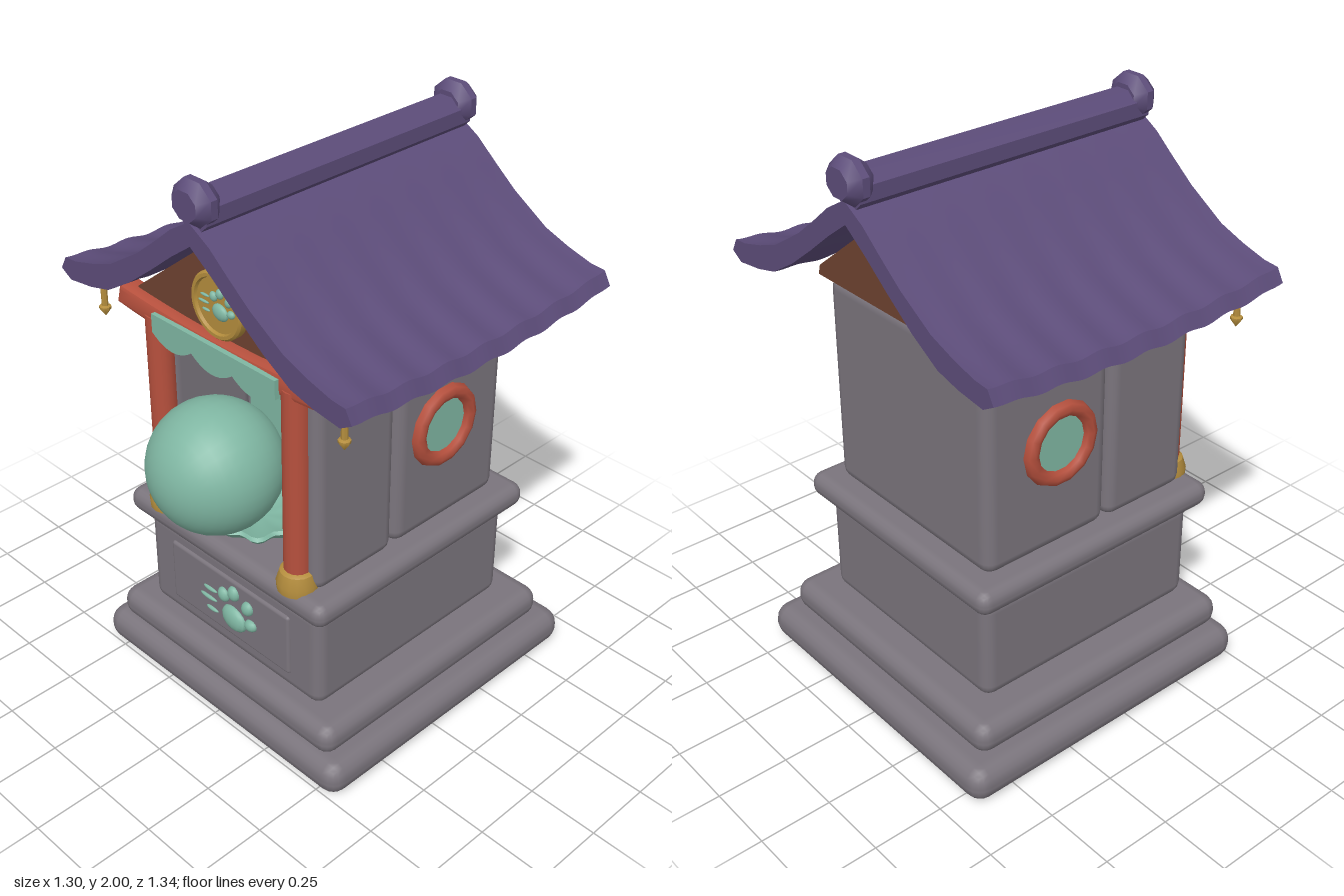
import * as THREE from 'three';
import { toCreasedNormals } from 'three/addons/utils/BufferGeometryUtils.js';
import { RoundedBoxGeometry } from 'three/addons/geometries/RoundedBoxGeometry.js';

const mat = (name, color) => Object.assign(new THREE.MeshStandardMaterial({ color }), { name });

export function createModel() {
  const stone = mat('stone', 0x7a747c);
  const purple = mat('roof purple', 0x5c4c79);
  const mint = mat('mint', 0x7fb6a2);
  const red = mat('red lacquer', 0xb6503d);
  const gold = mat('gold', 0xb48d3d);
  const wood = mat('brown wood', 0x6e4230);

  const root = new THREE.Group();
  root.name = 'shrine';

  const add = (name, geo, material, x = 0, y = 0, z = 0, parent = root) => {
    const m = new THREE.Mesh(geo, material);
    m.name = name;
    m.position.set(x, y, z);
    parent.add(m);
    return m;
  };
  // Bevelled block given by its extents
  const block = (name, x0, x1, y0, y1, z0, z1, r, material = stone) =>
    add(name, new RoundedBoxGeometry(x1 - x0, y1 - y0, z1 - z0, 2, r), material,
      (x0 + x1) / 2, (y0 + y1) / 2, (z0 + z1) / 2);
  const lathe = (pts, seg) =>
    toCreasedNormals(new THREE.LatheGeometry(pts.map(p => new THREE.Vector2(...p)), seg), 0.6);
  const polygon = pts => new THREE.Shape(pts.map(p => new THREE.Vector2(...p)));

  // Stepped stone base
  block('bottomStep', -0.59, 0.59, 0, 0.13, -0.67, 0.51, 0.06);
  block('upperStep', -0.53, 0.53, 0.125, 0.24, -0.6, 0.48, 0.052);
  block('pedestal', -0.42, 0.42, 0.235, 0.615, -0.49, 0.41, 0.045);
  block('pedestalCap', -0.47, 0.47, 0.61, 0.7, -0.54, 0.455, 0.042);
  block('frontPanel', -0.29, 0.29, 0.31, 0.55, 0.395, 0.42, 0.012);

  // Paw print with three speed lines, made of flattened beads
  const paw = (name, x, y, z, s) => {
    const g = new THREE.Group();
    g.name = name;
    g.position.set(x, y, z);
    g.scale.setScalar(s);
    const bead = (part, bx, by, rx, ry, rz, tilt = 0) => {
      const m = add(part, new THREE.SphereGeometry(1, 14, 10), mint, bx, by, 0, g);
      m.scale.set(rx, ry, rz);
      m.rotation.z = tilt;
    };
    bead('pad', 0.03, -0.035, 0.058, 0.046, 0.027, -0.25);
    bead('toe', -0.02, 0.04, 0.024, 0.028, 0.02, 0.4);
    bead('toe', 0.03, 0.07, 0.025, 0.029, 0.02);
    bead('toe', 0.097, 0.045, 0.025, 0.029, 0.02, -0.4);
    bead('toe', 0.112, -0.018, 0.027, 0.022, 0.02, 0.2);
    bead('speedLine', -0.09, 0.023, 0.034, 0.008, 0.009);
    bead('speedLine', -0.1, -0.017, 0.042, 0.008, 0.009);
    bead('speedLine', -0.083, -0.06, 0.03, 0.008, 0.009);
    root.add(g);
  };
  paw('panelPaw', 0, 0.432, 0.42, 1);

  // Shrine house
  block('rearHouse', -0.395, 0.395, 0.69, 1.45, -0.46, 0.04, 0.045);
  block('innerPanel', -0.28, 0.28, 0.69, 1.42, 0.02, 0.055, 0.008, mint);
  for (const s of [-1, 1]) {
    block('sideWall', s < 0 ? -0.395 : 0.27, s < 0 ? -0.27 : 0.395, 0.69, 1.45, 0.045, 0.39, 0.04);

    // Round side window
    const ring = add('windowRing', new THREE.TorusGeometry(0.12, 0.027, 8, 14), red, s * 0.397, 1.075, -0.17);
    ring.rotation.y = s * Math.PI / 2;
    const pane = add('windowPane', new THREE.CylinderGeometry(0.11, 0.11, 0.009, 20), mint, s * 0.397, 1.075, -0.17);
    pane.rotation.z = Math.PI / 2;

    // Pillar and its gold foot
    add('pillar', new THREE.CylinderGeometry(0.045, 0.045, 0.7, 16), red, s * 0.312, 1.07, 0.395);
    add('pillarFoot', lathe([[0, 0], [0.068, 0], [0.07, 0.03], [0.058, 0.07], [0.045, 0.078], [0, 0.078]], 16),
      gold, s * 0.312, 0.685, 0.395);

    // Hanging chime under the eave
    add('chime', lathe([[0, 0], [0.02, 0.028], [0.02, 0.036], [0.011, 0.04], [0.011, 0.12], [0.018, 0.125], [0.018, 0.16], [0, 0.16]], 8),
      gold, s * 0.545, 1.33, 0.43);
  }

  // Curved red lintel
  const beam = new THREE.Shape();
  beam.moveTo(-0.448, 1.468);
  beam.quadraticCurveTo(0, 1.425, 0.448, 1.468);
  beam.lineTo(0.46, 1.425);
  beam.quadraticCurveTo(0, 1.375, -0.46, 1.425);
  add('lintel', toCreasedNormals(new THREE.ExtrudeGeometry(beam, {
    depth: 0.05, curveSegments: 16, bevelSize: 0.014, bevelThickness: 0.014, bevelSegments: 2,
  }), 0.5), red, 0, -0.004, 0.37);

  // Scalloped curtain
  const cloth = new THREE.Shape();
  cloth.moveTo(0.28, 1.45);
  cloth.lineTo(-0.28, 1.45);
  cloth.lineTo(-0.28, 1.385);
  for (let i = 0; i < 3; i++) {
    const x = -0.28 + i * 0.1867;
    cloth.quadraticCurveTo(x + 0.093, 1.315, x + 0.1867, 1.385);
  }
  add('curtain', new THREE.ExtrudeGeometry(cloth, { depth: 0.018, bevelEnabled: false }), mint, 0, 0, 0.432);

  // Orb and scalloped cushion behind it
  const orb = add('orb', new THREE.SphereGeometry(0.222, 32, 18), mint, 0, 1.02, 0.45);
  orb.rotation.x = Math.PI / 2;
  const dish = new THREE.LatheGeometry([[0, 0], [0.08, 0], [0.13, 0.02], [0.16, 0.05], [0.15, 0.06], [0.08, 0.04], [0, 0.035]]
    .map(p => new THREE.Vector2(...p)), 48);
  const dp = dish.attributes.position;
  for (let i = 0; i < dp.count; i++) {
    const x = dp.getX(i), z = dp.getZ(i);
    const k = 1 + 0.09 * Math.cos(8 * Math.atan2(z, x)) * Math.min(1, Math.hypot(x, z) / 0.13);
    dp.setX(i, x * k);
    dp.setZ(i, z * k);
  }
  add('cushion', toCreasedNormals(dish, 0.7), mint, 0, 0.7, 0.27);

  // Wooden gable and gold medallion
  add('gable', new THREE.ExtrudeGeometry(polygon([[-0.415, 1.445], [0.415, 1.445], [0.405, 1.48], [0, 1.795], [-0.405, 1.48]]),
    { depth: 0.87, bevelEnabled: false }), wood, 0, 0, -0.475);
  const medal = add('medallion', lathe([[0, 0], [0.112, 0], [0.112, 0.03], [0.105, 0.038], [0.094, 0.038], [0.09, 0.028], [0, 0.028]], 32),
    gold, 0, 1.575, 0.39);
  medal.rotation.x = Math.PI / 2;
  paw('medallionPaw', 0, 1.58, 0.42, 0.58);

  // Sweeping roof: one cross-section, sagging between the ends and gently rippled
  const top = [[0.085, 1.825], [0.16, 1.762], [0.25, 1.69], [0.385, 1.605], [0.48, 1.57], [0.57, 1.545], [0.625, 1.54], [0.65, 1.495]];
  const under = [[0.605, 1.468], [0.5, 1.482], [0.41, 1.505], [0.3, 1.572], [0.19, 1.655], [0.09, 1.735]];
  const half = [...top, ...under];
  const flip = half.map(([x, y]) => [-x, y]).reverse();
  const roof = new THREE.ExtrudeGeometry(polygon([[0, 1.875], ...half, [0, 1.8], ...flip].reverse()),
    { depth: 1.15, steps: 64, bevelEnabled: false });
  const rp = roof.attributes.position;
  for (let i = 0; i < rp.count; i++) {
    const t = rp.getZ(i) / 0.575 - 1;
    const k = (rp.getX(i) / 0.65) ** 2;
    const ripple = 0.005 * Math.cos(t * Math.PI * 7) * Math.min(1, 2 * k);
    rp.setY(i, rp.getY(i) - 0.036 * k * (1 - t * t) + ripple * (1 - t ** 8));
  }
  add('roof', toCreasedNormals(roof, 0.65), purple, 0, 0, -0.64);

  // Ridge bar and end knobs
  const ridge = add('ridgeBar', toCreasedNormals(new THREE.CylinderGeometry(0.064, 0.064, 1.12, 8), 0.5), purple, 0, 1.9, -0.065);
  ridge.geometry.rotateY(Math.PI / 8);
  ridge.rotation.x = Math.PI / 2;
  for (const z of [-0.615, 0.48]) {
    const knob = add('ridgeKnob', lathe([[0, -0.045], [0.055, -0.045], [0.086, -0.012], [0.086, 0.012], [0.055, 0.045], [0, 0.045]], 8),
      purple, 0, 1.93, z);
    knob.geometry.rotateY(Math.PI / 8);
    knob.rotation.x = Math.PI / 2;
    knob.scale.z = 0.88;
  }

  // Centre front to back
  return root;
}
